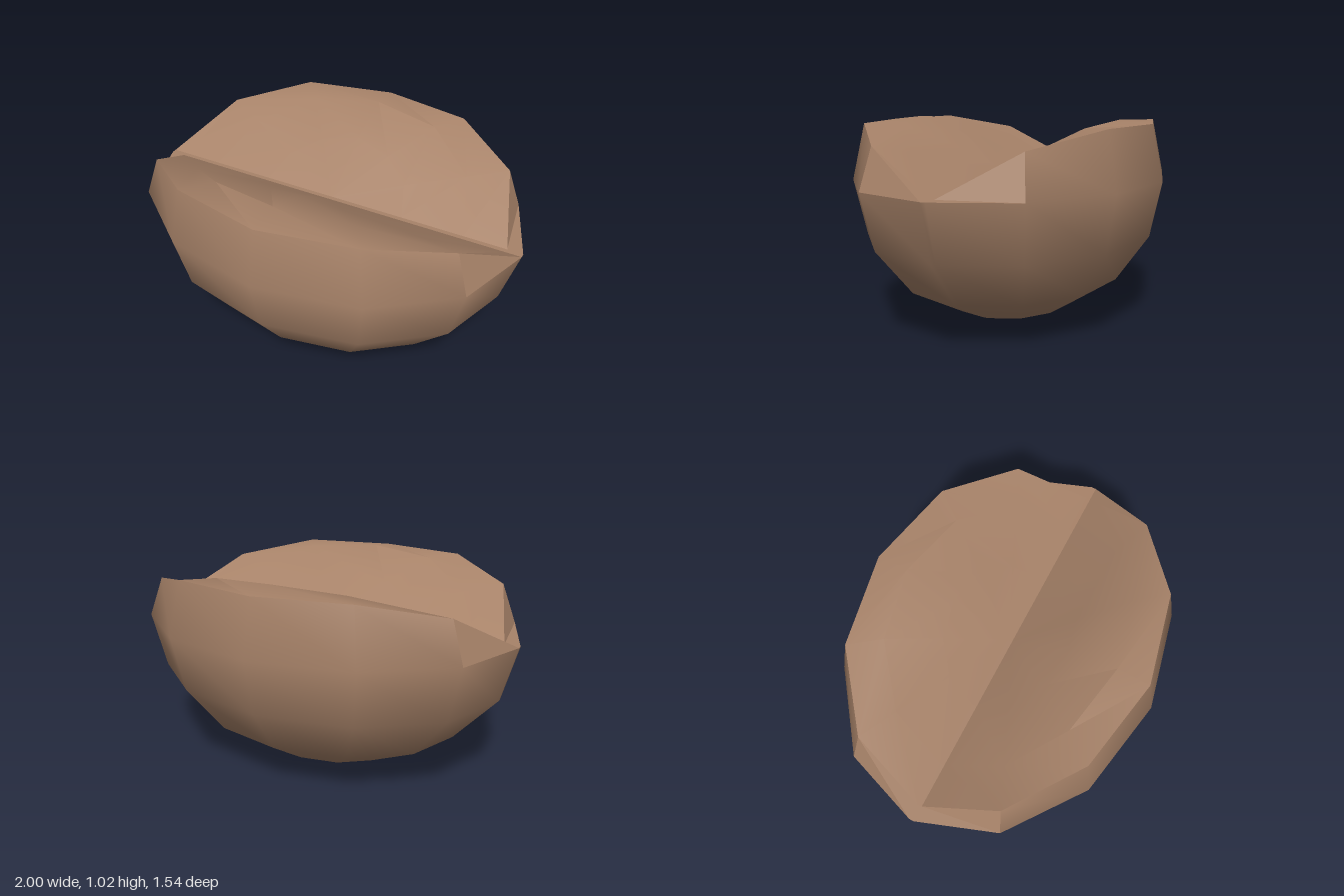
import * as THREE from 'three';
import { toCreasedNormals } from 'three/addons/utils/BufferGeometryUtils.js';

const MID = 0.73;    // height of the widest ring and of the split's floor
const SEAM = 0.012;  // half width of the flat strip between the two halves
const STEPS = 6;     // sides per half

// One closed ring: front half, then back half, set apart by the seam
function ring(radius, heightAt) {
  const points = [];
  for (const half of [0, 1]) {
    for (let j = 0; j <= STEPS; j++) {
      const a = (j / STEPS + half) * Math.PI;
      points.push([
        Math.cos(a) * radius,
        heightAt(Math.abs(j - STEPS / 2)),
        Math.sin(a) * radius * 0.76 + (half ? -SEAM : SEAM),
      ]);
    }
  }
  return points;
}

// Skin between rings, listed from the top or inside outwards
function skin(rings, keep = () => true) {
  const n = rings[0].length;
  const index = [];
  for (let r = 0; r < rings.length - 1; r++) {
    for (let j = 0; j < n; j++) {
      if (!keep(r, j)) continue;
      const k = (j + 1) % n;
      const a = r * n + j, b = r * n + k, c = a + n, d = b + n;
      index.push(a, b, c, b, d, c);
    }
  }
  const geometry = new THREE.BufferGeometry();
  geometry.setAttribute('position', new THREE.Float32BufferAttribute(rings.flat(2), 3));
  geometry.setIndex(index);
  geometry.computeVertexNormals();
  return geometry;
}

export function createModel() {
  const group = new THREE.Group();
  group.name = 'splitRoll';
  const material = new THREE.MeshStandardMaterial({ color: 0xa88369, side: THREE.DoubleSide });
  const add = (name, geometry) => {
    const mesh = new THREE.Mesh(geometry, material);
    mesh.name = name;
    group.add(mesh);
  };

  // Heights run from the middle of a half to its ends at the split
  const size = (k) => Math.cos((k * Math.PI) / 8);
  const raised = (k, heights) => ring(size(k), (i) => heights[i]);
  const rim = raised(1, [1.007, 1.007, 0.93, MID]);
  const upper = raised(2, [1.025, 1.0, 0.885, MID]);
  const inner = raised(3, [0.93, 0.89, 0.82, MID]);
  const floor = ring(0, () => MID);

  // Rounded bowl below the rim
  const level = (k) => ring(size(k), () => MID - 0.727 * Math.sin((k * Math.PI) / 8));
  const bowl = [0, 1, 2, 3, 4].map(level);

  // The end sectors of each half hold the notches
  const isEnd = (j) => j % 7 === 0 || j % 7 >= STEPS - 1;
  add('crust', skin([rim, ...bowl], (r, j) => r > 0 || !isEnd(j)));
  add('endNotches', toCreasedNormals(skin([rim, bowl[0]], (r, j) => isEnd(j)), 0.3));
  add('splitFaces', toCreasedNormals(skin([floor, inner, upper, rim]), 0.5));
  return group;
}
